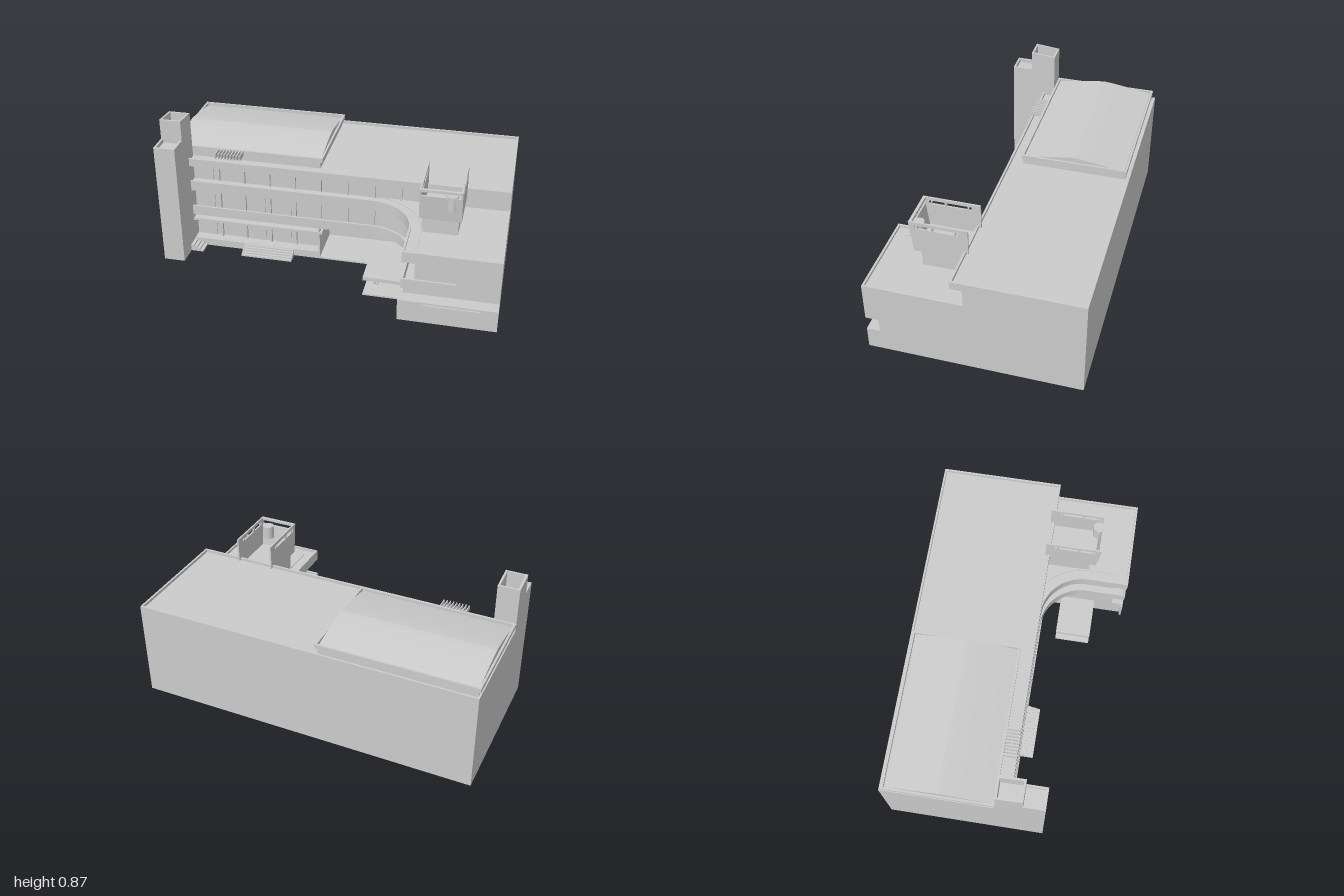
import * as THREE from 'three';

export function createModel() {
  const model = new THREE.Group();
  const mat = new THREE.MeshStandardMaterial({ color: 0xcccccc, side: THREE.DoubleSide });
  const T = 0.012; // wall thickness

  const add = (name, geo) => {
    const mesh = new THREE.Mesh(geo, mat);
    mesh.name = name;
    model.add(mesh);
    return mesh;
  };
  const box = (name, x0, x1, y0, y1, z0, z1) =>
    add(name, new THREE.BoxGeometry(x1 - x0, y1 - y0, z1 - z0)
      .translate((x0 + x1) / 2, (y0 + y1) / 2, (z0 + z1) / 2));
  // Extrude a (z, y) outline along x
  const side = (name, pts, x0, x1, holes = []) => {
    const flip = (list) => list.map(([z, y]) => new THREE.Vector2(-z, y));
    const shape = new THREE.Shape(flip(pts));
    holes.forEach(([z0, z1, y0, y1]) =>
      shape.holes.push(new THREE.Path(flip([[z0, y0], [z1, y0], [z1, y1], [z0, y1]]))));
    const geo = new THREE.ExtrudeGeometry(shape, { depth: x1 - x0, bevelEnabled: false });
    return add(name, geo.rotateY(Math.PI / 2).translate(x0, 0, 0));
  };
  // Extrude an (x, z) outline upwards
  const plan = (name, pts, y0, y1) => {
    const shape = new THREE.Shape(pts.map(([x, z]) => new THREE.Vector2(x, -z)));
    const geo = new THREE.ExtrudeGeometry(shape, { depth: y1 - y0, bevelEnabled: false });
    return add(name, geo.rotateX(-Math.PI / 2).translate(0, y0, 0));
  };
  // Facade line sweeping from the long front into the wing, set back by o
  const sweep = (o, zEnd) => {
    const pts = [[-0.875, 0.11 - o]];
    for (let i = 0; i <= 20; i++) {
      const a = (i / 20 - 1) * Math.PI / 2;
      pts.push([0.22 + (0.25 + o) * Math.cos(a), 0.36 + (0.25 + o) * Math.sin(a)]);
    }
    pts.push([0.47 + o, zEnd]);
    return pts;
  };
  const curved = (name, o0, o1, y0, y1, zEnd) =>
    plan(name, [...sweep(o0, zEnd), ...sweep(o1, zEnd).reverse()], y0, y1);

  // Main shell, open underneath
  box('backWall', -1, 1, 0, 0.588, -0.6, -0.6 + T);
  box('endWall', -1, -1 + T, 0, 0.588, -0.6, 0.05);
  side('wingEndWall', [[-0.6, 0], [0.6, 0], [0.6, 0.13], [0.525, 0.13], [0.525, 0.21], [0.6, 0.21],
    [0.6, 0.44], [0.045, 0.44], [0.045, 0.588], [-0.6, 0.588]], 1 - T, 1);
  box('mainRoof', -0.995, 1, 0.56, 0.572, -0.595, 0.11);
  box('frontCornice', -0.875, 1, 0.54, 0.588, 0.1, 0.112);
  box('corniceSoffit', -0.875, 1, 0.54, 0.546, 0.04, 0.11);
  box('corniceEnd', 1 - T, 1, 0.54, 0.588, 0.04, 0.112);

  // Window walls
  box('topWindowWall', -0.875, 1, 0.43, 0.56, 0.038, 0.045);
  curved('middleWindowWall', 0.065, 0.072, 0.21, 0.43, 0.535);
  box('groundWindowWall', -0.875, -0.09, 0, 0.215, 0.038, 0.045);

  // Balcony parapets and decks
  [[0.375, 0.44], [0.21, 0.27]].forEach(([y0, y1]) => {
    curved('balconyParapet', 0, T, y0, y1, 0.6);
    curved('balconyDeck', 0.005, 0.07, y0, y0 + 0.01, 0.595);
  });
  plan('wingRoof', [...sweep(0.006, 0.594), [0.994, 0.594], [0.994, 0.04], [-0.875, 0.04]], 0.418, 0.426);

  // Mullions, transoms and door panels
  [-0.715, -0.56, -0.405, -0.25, -0.095, 0.065, 0.225, 0.38].forEach((x) => {
    box('topMullion', x - 0.005, x + 0.005, 0.43, 0.54, 0.045, 0.062);
    if (x < 0.3) box('middleMullion', x - 0.005, x + 0.005, 0.22, 0.375, 0.045, 0.062);
    if (x < -0.05) box('groundMullion', x - 0.005, x + 0.005, 0.04, 0.21, 0.045, 0.062);
  });
  box('topTransom', -0.875, 0.53, 0.525, 0.535, 0.045, 0.055);
  box('middleTransom', -0.875, 0.22, 0.362, 0.372, 0.045, 0.055);
  [-0.8, -0.485, -0.327].forEach((x) => {
    box('doorPanel', x - 0.048, x + 0.048, 0.22, 0.355, 0.045, 0.051);
    box('groundDoor', x - 0.048, x + 0.048, 0.045, 0.165, 0.045, 0.051);
  });
  box('topDoor', -0.848, -0.752, 0.43, 0.512, 0.045, 0.051);

  // Terrace, canopy and steps
  box('terrace', -0.875, -0.09, 0, 0.045, 0.03, 0.11);
  box('terraceCanopy', -0.875, -0.075, 0.17, 0.185, 0.045, 0.112);
  for (let i = 0; i < 5; i++) {
    box('frontStep', -0.56, -0.25, 0, 0.042 - i * 0.008, 0.11 + i * 0.015, 0.125 + i * 0.015);
    if (i < 4) box('sideStep', -0.875 + i * 0.019, -0.856 + i * 0.019, 0, 0.04 - i * 0.01, 0.11, 0.19);
  }

  // Recessed porch
  box('porchFloor', -0.09, 0.475, 0, 0.01, -0.15, 0.11);
  box('porchBackWall', -0.09, 0.475, 0, 0.21, -0.16, -0.15);
  box('porchSideWall', -0.1, -0.09, 0, 0.21, -0.16, 0.11);
  box('porchSoffit', -0.09, 0.535, 0.205, 0.212, -0.15, 0.05);

  // Porch shelter beside the wing
  box('shelterBase', 0.23, 0.475, 0, 0.01, 0.21, 0.42);
  box('shelterRoof', 0.23, 0.475, 0.1, 0.122, 0.21, 0.42);
  [0.28, 0.3].forEach((x) => box('shelterPost', x - 0.005, x + 0.005, 0.01, 0.1, 0.31, 0.32));

  // Front wing: solid base, strip window notch, upper wall with corner window
  box('wingSideWall', 0.475, 0.485, 0, 0.21, -0.15, 0.53);
  box('wingLowerSide', 0.475, 0.485, 0, 0.13, 0.525, 0.6);
  box('wingLowerFront', 0.455, 1, 0, 0.13, 0.588, 0.6);
  box('notchSill', 0.475, 1, 0.122, 0.13, 0.52, 0.6);
  box('notchBack', 0.475, 1, 0.13, 0.21, 0.515, 0.525);
  box('notchSoffit', 0.475, 1, 0.21, 0.218, 0.52, 0.6);
  box('wingBand', 0.47, 1, 0.21, 0.27, 0.588, 0.6);
  box('wingTopBand', 0.47, 1, 0.375, 0.44, 0.588, 0.6);
  box('wingFrontPanel', 0.765, 1, 0.27, 0.375, 0.588, 0.6);
  box('cornerWindow', 0.535, 0.765, 0.21, 0.42, 0.528, 0.535);
  box('cornerWindowReturn', 0.765, 0.773, 0.21, 0.42, 0.528, 0.6);
  box('cornerWindowFloor', 0.475, 0.765, 0.21, 0.22, 0.53, 0.595);
  box('cornerWindowHead', 0.475, 0.765, 0.375, 0.385, 0.53, 0.595);
  box('ledge', 0.59, 0.905, 0.104, 0.118, 0.6, 0.608);

  // Stepped tower with hollow tops
  const towerSide = [[0.04, 0], [0.31, 0], [0.31, 0.745], [0.19, 0.745], [0.19, 0.865], [0.04, 0.85]];
  side('towerSide', towerSide, -1, -1 + T);
  side('towerSide', towerSide, -0.875 - T, -0.875);
  box('towerFront', -1, -0.875, 0, 0.745, 0.298, 0.31);
  box('towerMiddle', -1, -0.875, 0.5, 0.864, 0.178, 0.19);
  box('towerBack', -1, -0.875, 0.5, 0.85, 0.04, 0.052);
  box('towerLowRoof', -0.995, -0.88, 0.715, 0.722, 0.19, 0.3);
  box('towerHighRoof', -0.995, -0.88, 0.74, 0.748, 0.045, 0.185);

  // Raised roof: plinth, rim and low vault
  box('plinth', -0.99, -0.1, 0.565, 0.615, -0.575, 0.032);
  box('rimBack', -1, -0.085, 0.612, 0.637, -0.582, -0.57);
  box('rimFront', -1, -0.085, 0.612, 0.637, 0.025, 0.038);
  box('rimEnd', -1, -0.988, 0.612, 0.637, -0.582, 0.038);
  box('rimEnd', -0.097, -0.085, 0.612, 0.637, -0.582, 0.038);
  const vault = [[-0.57, 0.612]];
  for (let i = -10; i <= 10; i++) {
    const t = i / 10;
    vault.push([-0.27 + t * 0.295, 0.665 - 0.045 * Math.pow(Math.abs(t), 1.25)]);
  }
  vault.push([0.025, 0.612]);
  side('vaultRoof', vault, -0.985, -0.1);

  // Slatted trellis at the edge of the raised roof
  for (let i = 0; i < 9; i++) {
    const x = -0.715 + i * 0.0185;
    box('trellisSlat', x, x + 0.006, 0.605, 0.635, 0.035, 0.11);
  }
  box('trellisRail', -0.715, -0.56, 0.615, 0.622, 0.07, 0.076);

  // Roof pavilion over the wing
  box('pavilionBase', 0.54, 0.74, 0.42, 0.53, 0.045, 0.355);
  box('pavilionFloor', 0.53, 0.757, 0.53, 0.54, 0.09, 0.39);
  const wing = [[0.088, 0.53], [0.39, 0.53], [0.413, 0.72], [0.088, 0.72]];
  const slots = [[0.14, 0.153, 0.68, 0.702], [0.162, 0.278, 0.68, 0.702],
    [0.29, 0.36, 0.68, 0.702], [0.366, 0.378, 0.68, 0.702]];
  side('pavilionWall', wing, 0.527, 0.537, slots);
  side('pavilionWall', wing, 0.747, 0.757, slots);
  side('pavilionFront', [[0.38, 0.53], [0.39, 0.53], [0.408, 0.68], [0.398, 0.68]], 0.537, 0.747);
  box('pavilionBeam', 0.53, 0.755, 0.705, 0.72, 0.396, 0.412);
  add('frontDrum', new THREE.CylinderGeometry(0.033, 0.033, 0.08, 24).translate(0.7, 0.645, 0.378));
  box('drumBracket', 0.694, 0.706, 0.59, 0.61, 0.385, 0.405);

  return model;
}
